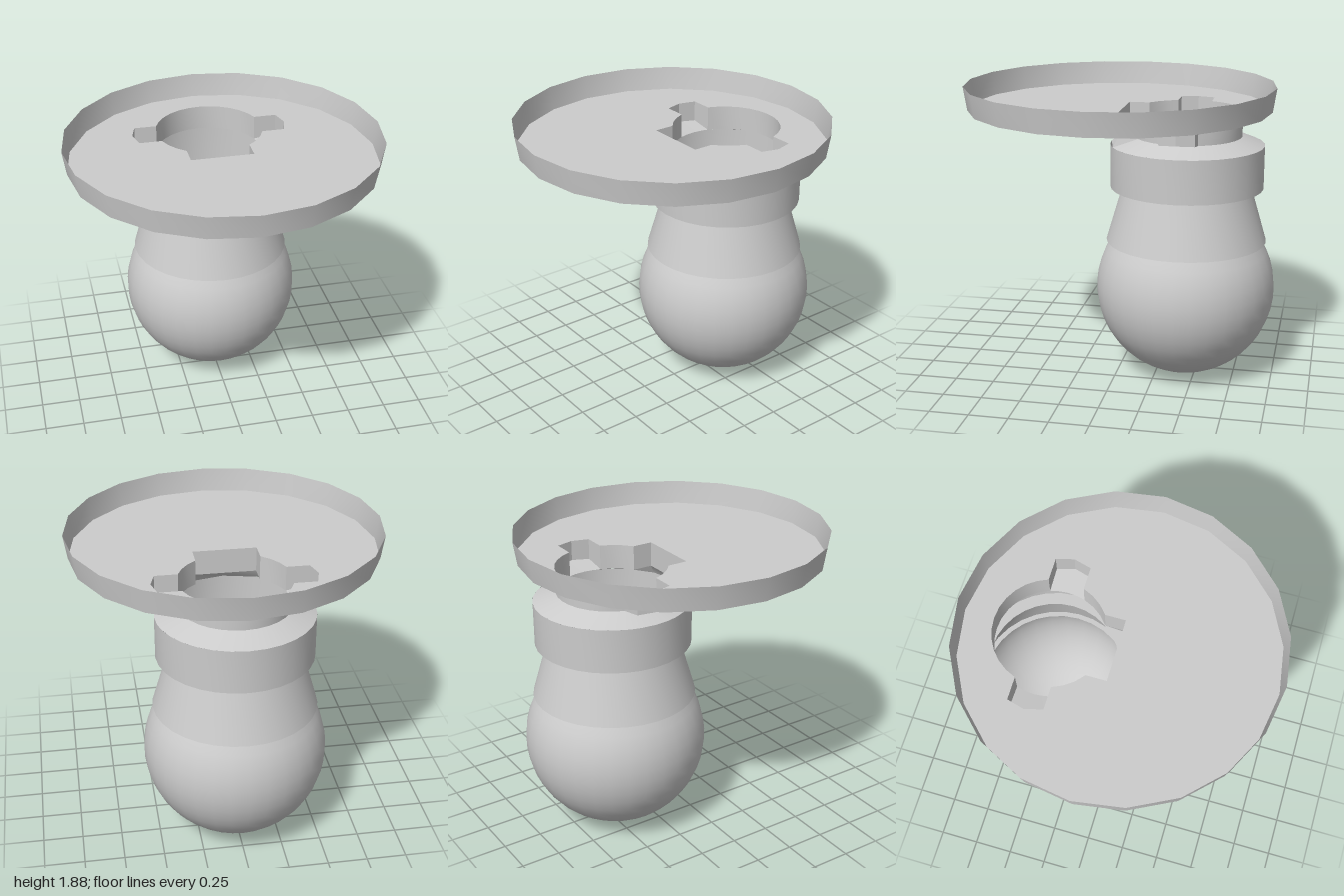
import * as THREE from 'three';
import { toCreasedNormals } from 'three/addons/utils/BufferGeometryUtils.js';

const material = new THREE.MeshStandardMaterial({ color: 0xcccccc, side: THREE.DoubleSide });
const AXIS_Z = -0.42;   // bulb and neck axis
const DISH_Z = 0.013;   // dish axis
const NECK_R = 0.345;
const COLLAR_R = 0.487;
const FLOOR_Y = 1.73;

function addMesh(group, name, geometry, z) {
  const mesh = new THREE.Mesh(toCreasedNormals(geometry, 0.5), material);
  mesh.name = name;
  mesh.position.z = z;
  group.add(mesh);
}

function lathe(profile, segments) {
  return new THREE.LatheGeometry(profile.map(([r, y]) => new THREE.Vector2(r, y)), segments);
}

// Skin closed loops of Vector3, stacked bottom to top, skipping empty triangles
function loft(loops) {
  const pos = [];
  const tri = new THREE.Triangle();
  const push = (a, b, c) => {
    if (tri.set(a, b, c).getArea() > 1e-7) for (const p of [a, b, c]) pos.push(p.x, p.y, p.z);
  };
  for (let k = 0; k + 1 < loops.length; k++) {
    const lo = loops[k], hi = loops[k + 1], n = lo.length;
    for (let i = 0; i < n; i++) {
      const j = (i + 1) % n;
      push(lo[i], lo[j], hi[j]);
      push(lo[i], hi[j], hi[i]);
    }
  }
  const g = new THREE.BufferGeometry();
  g.setAttribute('position', new THREE.Float32BufferAttribute(pos, 3));
  return g;
}

// Keyhole outline as pairs: base = round hole with front slot, full = also with side slots
function keyholeOutline() {
  const half = [];
  const add = (bx, bz, fx = bx, fz = bz) => half.push({ base: [bx, bz], full: [fx, fz] });
  const arc = (from, to, steps) => {
    for (let i = 0; i <= steps; i++) {
      const a = from + (to - from) * i / steps;
      add(NECK_R * Math.sin(a), NECK_R * Math.cos(a));
    }
  };
  const slot = Math.asin(0.11 / NECK_R);
  add(0, 0.41);
  add(0.2, 0.41);
  arc(Math.asin(0.2 / NECK_R), Math.PI / 2 - slot, 3);
  for (const [t, x, z] of [[0.6, 0.47, 0.11], [0, 0.5, 0], [-0.6, 0.47, -0.11]]) {
    add(NECK_R * Math.cos(t * slot), NECK_R * Math.sin(t * slot), x, z);
  }
  arc(Math.PI / 2 + slot, Math.PI, 6);
  const mirrored = half.slice(1, -1).reverse().map(({ base, full }) => ({
    base: [-base[0], base[1]], full: [-full[0], full[1]],
  }));
  return [...half, ...mirrored];
}

export function createModel() {
  const group = new THREE.Group();
  group.name = 'bulbWithDish';
  const outline = keyholeOutline();

  // Round bulb, flared skirt and straight collar, all hollow
  const bulb = [];
  const top = Math.asin((0.89 - 0.575) / 0.575);
  for (let i = 0; i <= 16; i++) {
    const a = -Math.PI / 2 + (top + Math.PI / 2) * i / 16;
    bulb.push([i === 0 ? 0 : 0.575 * Math.cos(a), 0.575 + 0.575 * Math.sin(a)]);
  }
  addMesh(group, 'bulb', lathe(bulb, 32), AXIS_Z);
  addMesh(group, 'skirt', lathe([[0.481, 0.89], [0.513, 0.89], [0.41, 1.24]], 32), AXIS_Z);
  addMesh(group, 'collar', lathe([[0.41, 1.24], [COLLAR_R, 1.24], [COLLAR_R, 1.515]], 32), AXIS_Z);

  // Sloped shoulder from the collar rim to the keyhole
  const rim = outline.map(({ base: [x, z] }) => {
    const s = COLLAR_R / Math.hypot(x, z);
    return new THREE.Vector3(x * s, 1.515, z * s);
  });
  const throat = outline.map(({ base: [x, z] }) => new THREE.Vector3(x, 1.572, z));
  addMesh(group, 'shoulder', loft([rim, throat]), AXIS_Z);

  // Keyhole neck with slightly raised floors in the side slots
  const neckLow = outline.map(({ full: [x, z] }) =>
    new THREE.Vector3(x, 1.572 + Math.max(0, Math.abs(x) - NECK_R) * 0.19, z));
  const neckTop = outline.map(({ full: [x, z] }) => new THREE.Vector3(x, FLOOR_Y, z));
  addMesh(group, 'keyholeNeck', loft([throat, neckLow, neckTop]), AXIS_Z);

  // Shallow dish: floor pierced by the keyhole, and a flared wall
  const disc = [];
  for (let i = 0; i < 20; i++) {
    const a = i * Math.PI / 10;
    disc.push(new THREE.Vector2(0.96 * Math.sin(a), 0.96 * Math.cos(a)));
  }
  const floor = new THREE.Shape(disc);
  floor.holes.push(new THREE.Path(outline.map(({ full: [x, z] }) =>
    new THREE.Vector2(x, DISH_Z - AXIS_Z - z))));
  const floorGeometry = new THREE.ShapeGeometry(floor);
  floorGeometry.rotateX(-Math.PI / 2).translate(0, FLOOR_Y, 0);
  addMesh(group, 'dishFloor', floorGeometry, DISH_Z);
  addMesh(group, 'dishWall', lathe([[0.96, FLOOR_Y], [0.983, 1.88]], 20), DISH_Z);

  return group;
}
